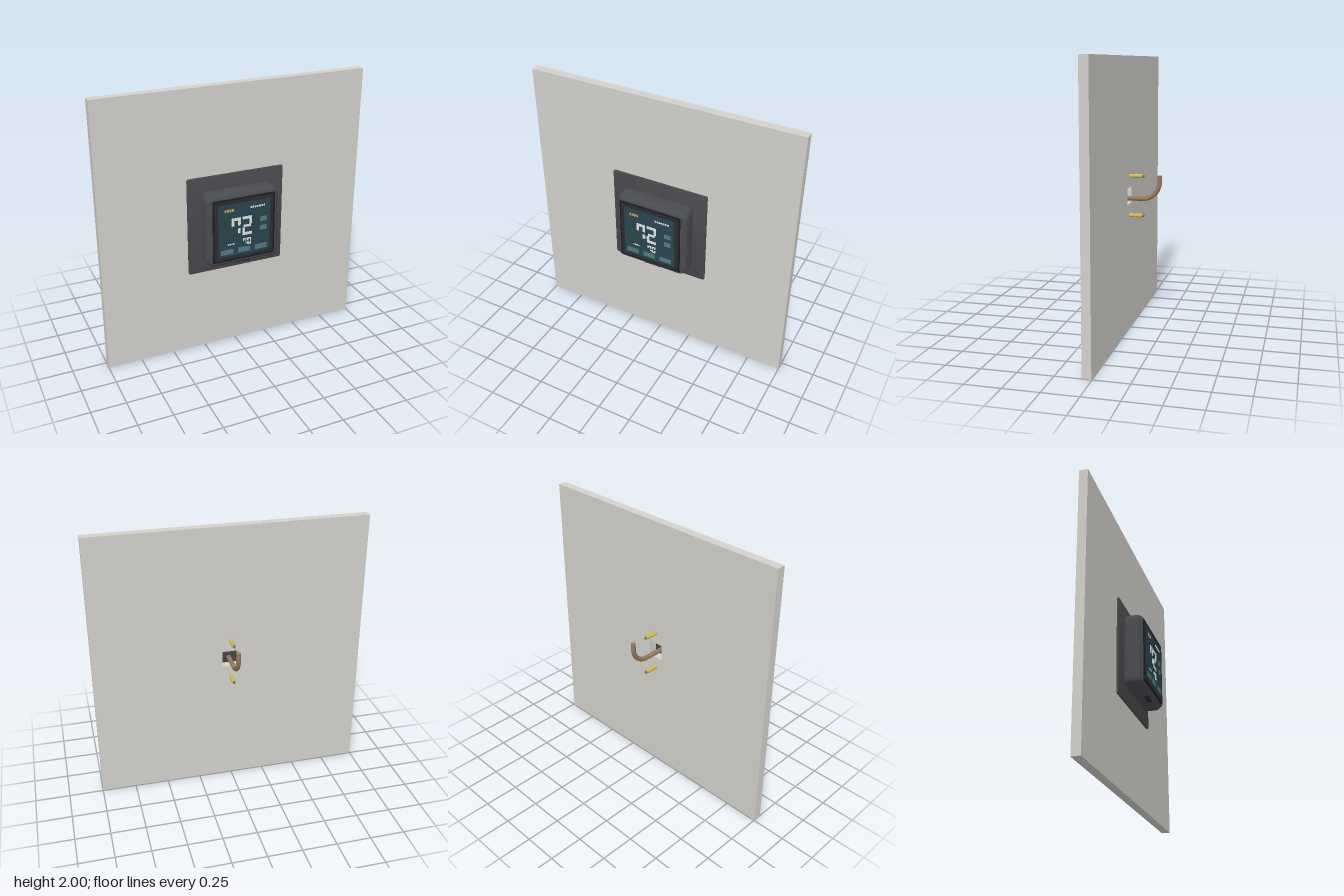
import * as THREE from 'three';
import { toCreasedNormals } from 'three/addons/utils/BufferGeometryUtils.js';

const mat = (color) => new THREE.MeshStandardMaterial({ color });
const M = {
  wall: mat(0xd2d0cb), plate: mat(0x4a494d), body: mat(0x4a4b50), black: mat(0x1d1e21),
  glass: mat(0x2c2d31), screen: mat(0x28444e), button: mat(0x527a82), lit: mat(0xdfe3de),
  amber: mat(0xc9a45a), brass: mat(0xd0ba50), steel: mat(0x77777a), cable: mat(0x96795f),
};

// Square outline with rounded corners, centred on the origin
function roundedSquare(size, r) {
  const a = size / 2, s = new THREE.Shape();
  s.moveTo(-a + r, -a);
  s.lineTo(a - r, -a); s.absarc(a - r, -a + r, r, -Math.PI / 2, 0);
  s.lineTo(a, a - r); s.absarc(a - r, a - r, r, 0, Math.PI / 2);
  s.lineTo(-a + r, a); s.absarc(-a + r, a - r, r, Math.PI / 2, Math.PI);
  s.lineTo(-a, -a + r); s.absarc(-a + r, -a + r, r, Math.PI, Math.PI * 1.5);
  return s;
}

// Bevelled slab of full width `size` from z0 to z1
function slab(size, r, z0, z1, bevel, segments) {
  const g = new THREE.ExtrudeGeometry(roundedSquare(size - 2 * bevel, r), {
    depth: z1 - z0 - 2 * bevel, bevelThickness: bevel, bevelSize: bevel,
    bevelSegments: segments, curveSegments: 6,
  });
  g.translate(0, 1, z0 + bevel);
  return toCreasedNormals(g, 0.7);
}

export function createModel() {
  const model = new THREE.Group();
  const add = (name, geometry, material, parent = model) => {
    const m = new THREE.Mesh(geometry, material);
    m.name = name;
    parent.add(m);
    return m;
  };
  const box = (name, x0, x1, y0, y1, z0, z1, material, parent) => {
    const m = add(name, new THREE.BoxGeometry(x1 - x0, y1 - y0, z1 - z0), material, parent);
    m.position.set((x0 + x1) / 2, (y0 + y1) / 2, (z0 + z1) / 2);
    return m;
  };
  const group = (name) => {
    const g = new THREE.Group();
    g.name = name;
    model.add(g);
    return g;
  };

  // Wall panel with a square cable opening
  const panel = new THREE.Shape([[-1, 0], [1, 0], [1, 2], [-1, 2]].map((p) => new THREE.Vector2(...p)));
  const h = 0.06;
  panel.holes.push(new THREE.Path([[-h, 1 - h], [-h, 1 + h], [h, 1 + h], [h, 1 - h]].map((p) => new THREE.Vector2(...p))));
  const wall = new THREE.ExtrudeGeometry(panel, { depth: 0.063, bevelEnabled: false });
  wall.translate(0, 0, 0.004);
  add('wall', wall, M.wall);

  // Cover plate, housing, bezel, glass and screen, stacked outwards
  add('wallPlate', slab(0.736, 0.012, 0.067, 0.082, 0.004, 2), M.plate);
  add('housing', slab(0.554, 0.018, 0.08, 0.217, 0.042, 6), M.body);
  add('housingLip', slab(0.505, 0.02, 0.2, 0.22, 0.004, 2), M.body);
  add('bezel', slab(0.476, 0.006, 0.21, 0.227, 0.003, 1), M.black);
  add('glass', slab(0.45, 0.004, 0.22, 0.229, 0.002, 1), M.glass);
  box('screen', -0.2, 0.197, 0.802, 1.2, 0.222, 0.231, M.screen);

  // Touch buttons
  const buttons = group('touchButtons');
  for (const x of [-0.134, -0.003, 0.129]) box('bottomButton', x - 0.046, x + 0.046, 0.819, 0.857, 0.228, 0.233, M.button, buttons);
  for (const y of [1.05, 0.983]) box('sideButton', 0.121, 0.171, y - 0.018, y + 0.018, 0.228, 0.233, M.button, buttons);

  // Lit segments: top, upper left, upper right, middle, lower left, lower right, bottom
  const readout = group('readout');
  const digit = (x, y, w, ht, t, on) => {
    const m = y + ht / 2, g = t * 0.12;
    const bars = [
      [x, x + w, y + ht - t, y + ht],
      [x, x + t, m + t / 2, y + ht - t - g],
      [x + w - t, x + w, m + t / 2, y + ht - t - g],
      [x + t * 0.5, x + w - t * 0.5, m - t / 2, m + t / 2 - g],
      [x, x + t, y + t + g, m - t / 2 - g],
      [x + w - t, x + w, y + t + g, m - t / 2 - g],
      [x, x + w, y, y + t],
    ];
    bars.forEach((b, i) => on[i] && box('segment', ...b, 0.229, 0.235, M.lit, readout));
  };
  const seven = [1, 1, 1, 0, 0, 1, 0];
  digit(-0.1, 0.95, 0.068, 0.142, 0.02, seven);
  digit(-0.018, 0.95, 0.074, 0.142, 0.02, [1, 0, 1, 1, 1, 0, 1]);
  digit(-0.013, 0.873, 0.028, 0.051, 0.008, seven);
  digit(0.021, 0.873, 0.028, 0.051, 0.008, [1, 1, 1, 0, 1, 1, 1]);

  // Small status indicators, as rows of dashes
  const dashes = (name, x0, x1, y, ht, n, material) => {
    const pitch = (x1 - x0) / n;
    for (let i = 0; i < n; i++) {
      const x = x0 + i * pitch;
      box(name, x, x + pitch * 0.7, y - ht / 2, y + ht / 2, 0.229, 0.2345, material, readout);
    }
  };
  dashes('modeIndicator', -0.152, -0.08, 1.155, 0.02, 4, M.amber);
  dashes('fanIndicator', 0.045, 0.16, 1.155, 0.013, 7, M.lit);
  dashes('setIndicator', -0.13, -0.075, 0.895, 0.01, 4, M.lit);

  // Vent slots on the underside
  const vents = group('ventSlots');
  for (let i = 0; i < 7; i++) {
    const x = -0.054 + i * 0.018;
    box('ventSlot', x - 0.005, x + 0.005, 0.721, 0.73, 0.165, 0.195, M.black, vents);
  }

  // Mounting screws, with thin steel tips behind the wall
  for (const y of [1.145, 0.855]) {
    const screw = group('mountingScrew');
    const shank = add('shank', new THREE.CylinderGeometry(0.014, 0.014, 0.155, 16), M.brass, screw);
    shank.position.z = -0.0125;
    const tip = add('tip', new THREE.CylinderGeometry(0.009, 0.009, 0.02, 16), M.steel, screw);
    tip.position.z = -0.094;
    for (const m of [shank, tip]) m.rotation.x = Math.PI / 2;
    screw.position.y = y;
  }

  // Cable leaving through the opening and bending upwards
  const V = (y, z) => new THREE.Vector3(0, y, z);
  const path = new THREE.CurvePath();
  const k = 0.552 * 0.128;
  path.add(new THREE.LineCurve3(V(0.98, 0.066), V(0.98, -0.09)));
  path.add(new THREE.CubicBezierCurve3(V(0.98, -0.09), V(0.98, -0.09 - k), V(1.108 - k, -0.218), V(1.108, -0.218)));
  path.add(new THREE.LineCurve3(V(1.108, -0.218), V(1.153, -0.218)));
  add('cable', new THREE.TubeGeometry(path, 48, 0.017, 14, false), M.cable);
  const end = add('cableEnd', new THREE.CircleGeometry(0.017, 14), M.cable);
  end.rotation.x = -Math.PI / 2;
  end.position.set(0, 1.153, -0.218);

  return model;
}
